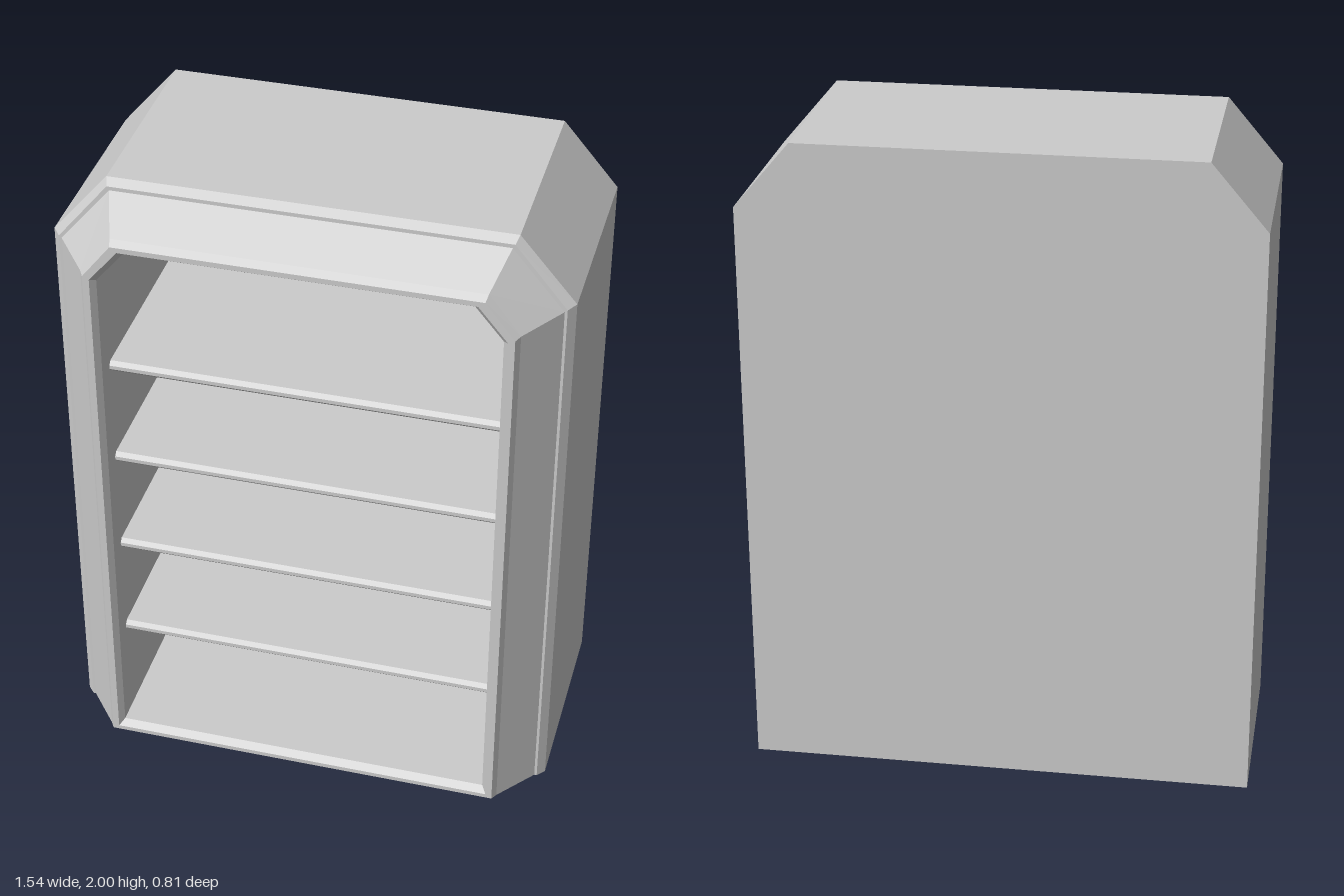
import * as THREE from 'three';

const material = new THREE.MeshStandardMaterial({ color: 0xcccccc, flatShading: true });

// Six-sided outline with two clipped top corners, counter-clockwise from the front
function outline([z, w, bottom, sideY, topX, top]) {
  return [
    [w, bottom, z], [w, sideY, z], [topX, top, z],
    [-topX, top, z], [-w, sideY, z], [-w, bottom, z],
  ];
}

// Skin between successive outlines, optionally closing the first or last one
function loft(name, sections, capStart, capEnd) {
  const rings = sections.map(outline);
  const pos = [];
  const tri = (a, b, c) => pos.push(...a, ...b, ...c);
  for (let r = 0; r < rings.length - 1; r++) {
    const a = rings[r], b = rings[r + 1];
    for (let i = 0; i < 6; i++) {
      const j = (i + 1) % 6;
      tri(a[i], a[j], b[j]);
      tri(a[i], b[j], b[i]);
    }
  }
  const first = rings[0], last = rings[rings.length - 1];
  for (let i = 1; i < 5; i++) {
    if (capStart) tri(first[0], first[i + 1], first[i]);
    if (capEnd) tri(last[0], last[i], last[i + 1]);
  }
  const geometry = new THREE.BufferGeometry();
  geometry.setAttribute('position', new THREE.Float32BufferAttribute(pos, 3));
  geometry.computeVertexNormals();
  const mesh = new THREE.Mesh(geometry, material);
  mesh.name = name;
  return mesh;
}

// Board with small bevels along its front edge
function shelf(topY, index) {
  const back = -0.39, front = 0.325, h = 0.036;
  const profile = new THREE.Shape([
    [-back, -h], [-back, 0], [-front + 0.012, 0],
    [-front, -0.012], [-front, -h + 0.012], [-front + 0.012, -h],
  ].map(([x, y]) => new THREE.Vector2(x, y)));
  const geometry = new THREE.ExtrudeGeometry(profile, { depth: 1.19, bevelEnabled: false });
  geometry.translate(0, 0, -0.595);
  geometry.rotateY(Math.PI / 2);
  const mesh = new THREE.Mesh(geometry, material);
  mesh.position.y = topY;
  mesh.name = `shelf${index + 1}`;
  return mesh;
}

export function createModel() {
  const group = new THREE.Group();
  group.name = 'bookcase';

  // Section values: z, half width, bottom, side corner y, top corner x, top
  const shellFront = [0.24, 0.77, 0, 1.8, 0.6, 2];
  const innerLip = [0.385, 0.595, 0.032, 1.74, 0.51, 1.842];

  // Outer body
  group.add(loft('carcass', [[-0.405, 0.77, 0, 1.8, 0.6, 2], shellFront], true, false));

  // Stepped, sloping moulding around the opening
  group.add(loft('frontFrame', [
    shellFront,
    [0.265, 0.748, 0, 1.792, 0.592, 1.982],
    [0.265, 0.74, 0, 1.785, 0.585, 1.97],
    [0.385, 0.642, 0, 1.765, 0.547, 1.888],
    [0.405, 0.63, 0, 1.76, 0.542, 1.872],
    [0.405, 0.61, 0.014, 1.75, 0.522, 1.856],
    innerLip,
  ], false, false));

  // Recess with its back panel and floor
  group.add(loft('interior', [innerLip, [-0.385, 0.595, 0.032, 1.74, 0.51, 1.842]], false, true));

  // Four evenly spaced shelves
  for (let i = 0; i < 4; i++) group.add(shelf(0.397 + i * 0.338, i));

  return group;
}
